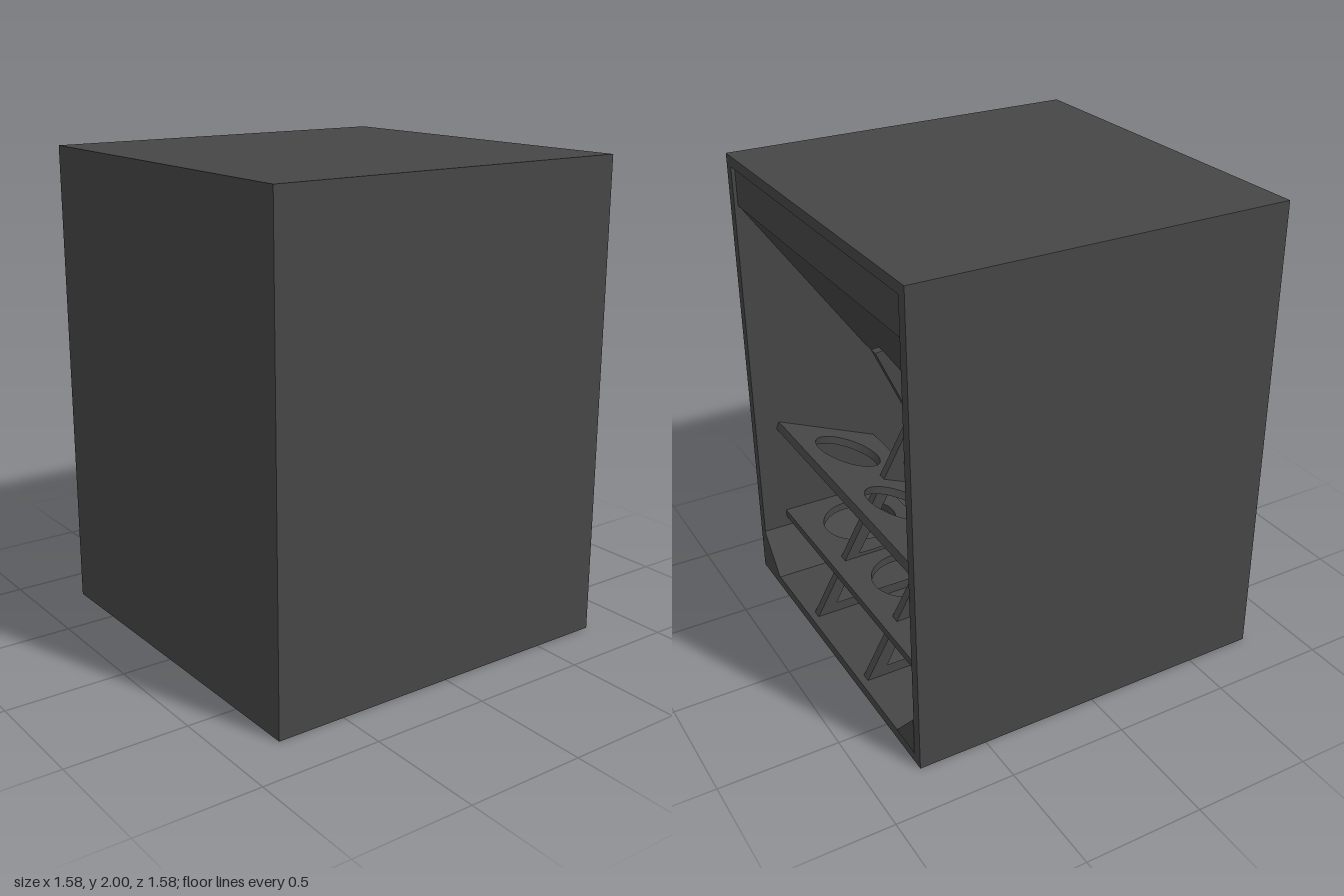
import * as THREE from 'three';

const W = 0.79, H = 2, T = 0.045, INNER = 2 * (W - T);

export function createModel() {
  const model = new THREE.Group();
  const paint = new THREE.MeshStandardMaterial({ color: 0x464646 });
  paint.name = 'dark grey paint';

  const add = (name, geometry, x = 0, y = 0, z = 0) => {
    const mesh = new THREE.Mesh(geometry, paint);
    mesh.name = name;
    mesh.position.set(x, y, z);
    model.add(mesh);
    return mesh;
  };
  const box = (name, w, h, d, x, y, z) => add(name, new THREE.BoxGeometry(w, h, d), x, y, z);
  const toPoints = list => list.map(([a, b]) => new THREE.Vector2(a, b));

  // Side profile (depth from the open back, height) extruded across the width
  const profile = (name, outline, width, x = 0, windows = []) => {
    const shape = new THREE.Shape(toPoints(outline));
    for (const hole of windows) shape.holes.push(new THREE.Path(toPoints(hole)));
    const geometry = new THREE.ExtrudeGeometry(shape, { depth: width, bevelEnabled: false });
    geometry.translate(0, 0, -width / 2).rotateY(-Math.PI / 2);
    return add(name, geometry, x, 0, -W);
  };

  // Straight board between two profile points
  const board = (name, [a, b], [c, d], thick = 0.04) => {
    const k = thick / Math.hypot(c - a, d - b);
    const nx = (d - b) * k, ny = -(c - a) * k;
    return profile(name, [[a, b], [c, d], [c - nx, d - ny], [a - nx, b - ny]], INNER);
  };

  // Cabinet, open at the back
  box('topPanel', 2 * W, T, 2 * W, 0, H - T / 2, 0);
  box('bottomPanel', 2 * W, T, 2 * W, 0, T / 2, 0);
  box('frontPanel', 2 * W, H - 2 * T, T, 0, H / 2, W - T / 2);
  for (const s of [-1, 1]) {
    box('sidePanel', T, H - 2 * T, 2 * W - T, s * (W - T / 2), H / 2, -T / 2);
  }
  box('upperRail', INNER, 0.165, T, 0, 1.87, -W + 0.015 + T / 2);

  // Sloping baffle with clipped lower corners
  const half = INNER / 2, slope = Math.atan2(0.82, 0.58), len = Math.hypot(0.82, 0.58);
  const baffle = new THREE.Shape(toPoints([
    [-half, 0], [half, 0], [half, len - 0.09], [half - 0.09, len], [-half + 0.09, len], [-half, len - 0.09],
  ]));
  const baffleGeometry = new THREE.ExtrudeGeometry(baffle, { depth: 0.04, bevelEnabled: false });
  baffleGeometry.rotateX(Math.PI / 2).translate(0, 0.04, 0);
  add('slopingBaffle', baffleGeometry, 0, 1.785, -W + 0.02).rotation.x = slope;

  // Inner chamber board and lower deflector
  board('chamberBoard', [0.6, 0.97], [1.15, 1.2]);
  profile('lowerDeflector', [[0.98, T], [1.54, T], [1.54, 0.6]], INNER);

  // Angled fillets along the lower side corners
  for (const s of [-1, 1]) {
    const points = [[s * (W - T), T], [s * (W - T), 0.21], [s * 0.595, T]];
    const geometry = new THREE.ExtrudeGeometry(new THREE.Shape(toPoints(points)), { depth: 1.53, bevelEnabled: false });
    add('cornerFillet', geometry, 0, 0, -W - 0.002);
  }

  // Shelves with three round openings
  const shelf = (name, y, depth, holeAt, radius, tilt) => {
    const shape = new THREE.Shape(toPoints([[-half, 0], [half, 0], [half, depth], [-half, depth]]));
    for (const x of [-0.5, 0, 0.5]) {
      shape.holes.push(new THREE.Path().absarc(x, holeAt, radius, 0, Math.PI * 2, true));
    }
    const geometry = new THREE.ExtrudeGeometry(shape, { depth: 0.035, bevelEnabled: false, curveSegments: 24 });
    geometry.rotateX(Math.PI / 2);
    add(name, geometry, 0, y, -W + 0.11).rotation.x = tilt;
  };
  shelf('upperShelf', 0.757, 0.5, 0.24, 0.15, 0.4);
  shelf('lowerShelf', 0.292, 0.49, 0.26, 0.165, 0);

  // Two upright braces with windows
  for (const x of [-0.25, 0.25]) {
    profile('brace',
      [[0.03, T], [0.52, 0.9], [0.36, 1.25], [0.4, 1.255], [0.62, 0.94], [1.07, 0.62], [1.04, T]], 0.04, x,
      [
        [[0.12, 0.09], [0.2, 0.24], [0.92, 0.24], [0.92, 0.09]],
        [[0.24, 0.31], [0.4, 0.58], [0.58, 0.5], [0.58, 0.31]],
        [[0.47, 0.7], [0.545, 0.83], [0.58, 0.83], [0.58, 0.62]],
        [[0.64, 0.31], [0.64, 0.84], [0.99, 0.6], [0.98, 0.31]],
      ]);
  }
  return model;
}
